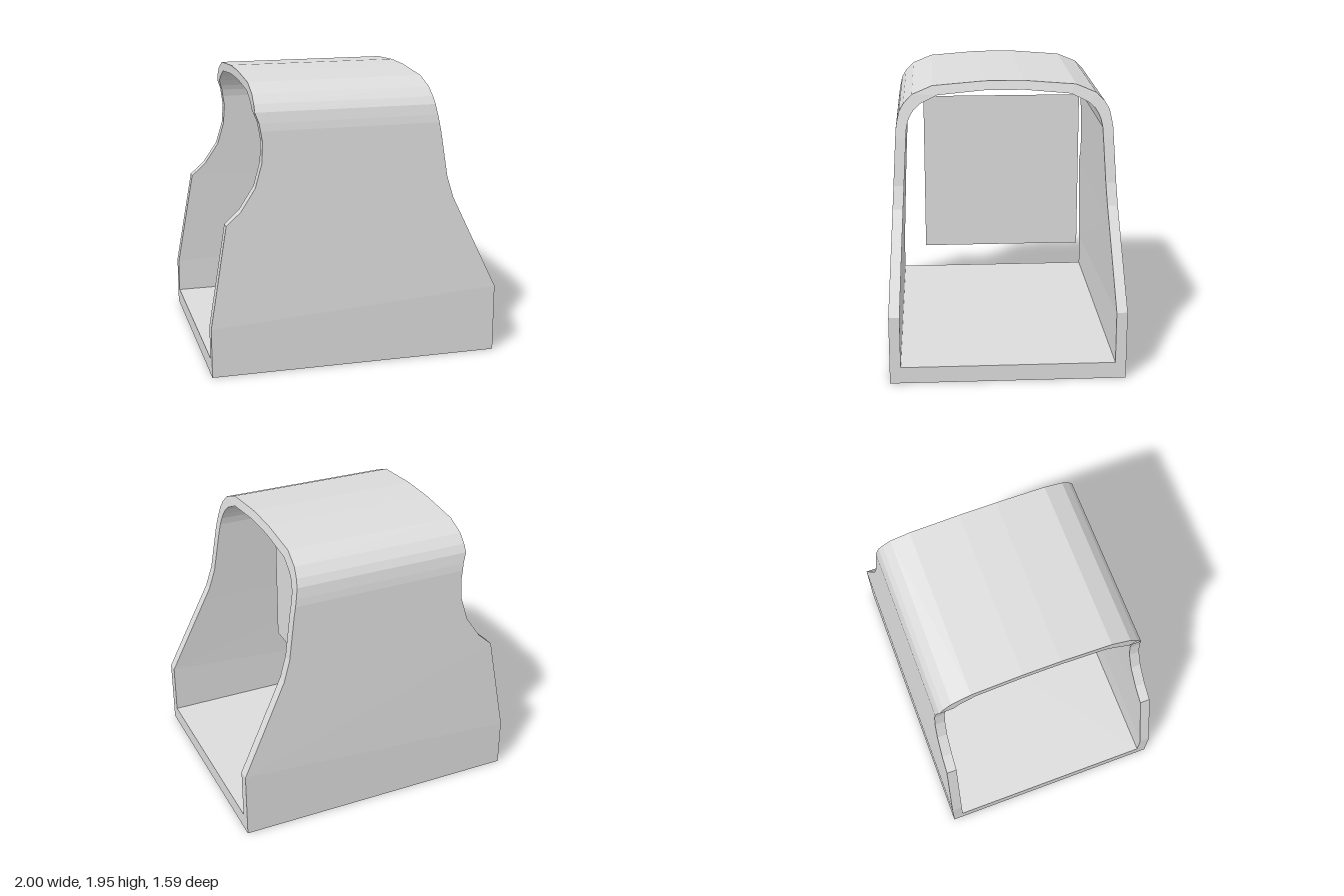
import * as THREE from 'three';

// End profiles of the shell in the x-y plane, as [y, x]
const LEFT_CUT = [[0, -1], [0.34, -1], [1.03, -0.88], [1.12, -0.78], [1.27, -0.68],
  [1.43, -0.633], [1.57, -0.625], [1.69, -0.643], [1.76, -0.667], [2, -0.667]];
const RIGHT_CUT = [[0, 1], [0.47, 1], [1.12, 0.69], [1.27, 0.645], [1.58, 0.6], [1.87, 0.545], [1.95, 0.525]];

// Half cross-section, bottom to top: outer z, outer y, inner z, inner y
const ARCH = [[0.726, 1.64, 0.656, 1.64], [0.718, 1.69, 0.645, 1.69], [0.702, 1.76, 0.631, 1.725],
  [0.672, 1.81, 0.607, 1.765], [0.615, 1.868, 0.56, 1.807], [0.48, 1.923, 0.445, 1.862], [0.13, 1.95, 0.13, 1.89]];

function cutAt(cut, y) {
  let i = 1;
  while (i < cut.length - 1 && cut[i][0] < y) i++;
  const [y0, x0] = cut[i - 1], [y1, x1] = cut[i];
  return x0 + (x1 - x0) * (y - y0) / (y1 - y0);
}

// One lengthwise line of the shell, from its left-cut end to its right-cut end
function rail(z, yA, yB = yA) {
  return [[cutAt(LEFT_CUT, yA), yA, z], [cutAt(RIGHT_CUT, yB), yB, z]];
}

function shellGeometry() {
  const half = [
    { o: rail(0.793, 0), i: rail(0.72, 0.113) },
    { o: rail(0.793, 0.34, 0.47), i: rail(0.72, 0.34, 0.47) }, // slanted crease
  ];
  for (const y of [1.03, 1.12, 1.27, 1.43, 1.57]) { // leaning side walls
    const z = 0.793 - 0.063 * (y - 0.47) / 1.1;
    half.push({ o: rail(z, y), i: rail(z - 0.07, y) });
  }
  for (const [oz, oy, iz, iy] of ARCH) half.push({ o: rail(oz, oy), i: rail(iz, iy) });

  const flip = (r) => r.map(([x, y, z]) => [x, y, -z]);
  const loop = [...half, ...half.slice().reverse().map((s) => ({ o: flip(s.o), i: flip(s.i) }))];

  const pos = [];
  const quad = (a, b, c, d) => pos.push(...a, ...b, ...c, ...a, ...c, ...d);
  loop.forEach((s, k) => {
    const n = loop[(k + 1) % loop.length];
    quad(s.o[0], s.o[1], n.o[1], n.o[0]); // outer skin
    quad(s.i[1], s.i[0], n.i[0], n.i[1]); // inner skin
    quad(s.o[1], s.i[1], n.i[1], n.o[1]); // rim at +x
    quad(s.i[0], s.o[0], n.o[0], n.i[0]); // rim at -x
  });
  const g = new THREE.BufferGeometry();
  g.setAttribute('position', new THREE.Float32BufferAttribute(pos, 3));
  g.computeVertexNormals();
  return g;
}

export function createModel() {
  const group = new THREE.Group();
  group.name = 'archedHousing';
  // Double-sided so the thin panel shows from both ends
  const grey = new THREE.MeshStandardMaterial({ color: 0xdbdbdb, side: THREE.DoubleSide });
  grey.name = 'light grey';

  // Open-ended arched shell with a flat floor
  const shell = new THREE.Mesh(shellGeometry(), grey);
  shell.name = 'shell';
  group.add(shell);

  // Thin square panel standing inside, across the shell
  const panel = new THREE.Mesh(new THREE.PlaneGeometry(1.08, 1.086), grey);
  panel.name = 'innerPanel';
  panel.rotation.y = Math.PI / 2;
  panel.position.set(0.207, 1.243, 0);
  group.add(panel);

  return group;
}
